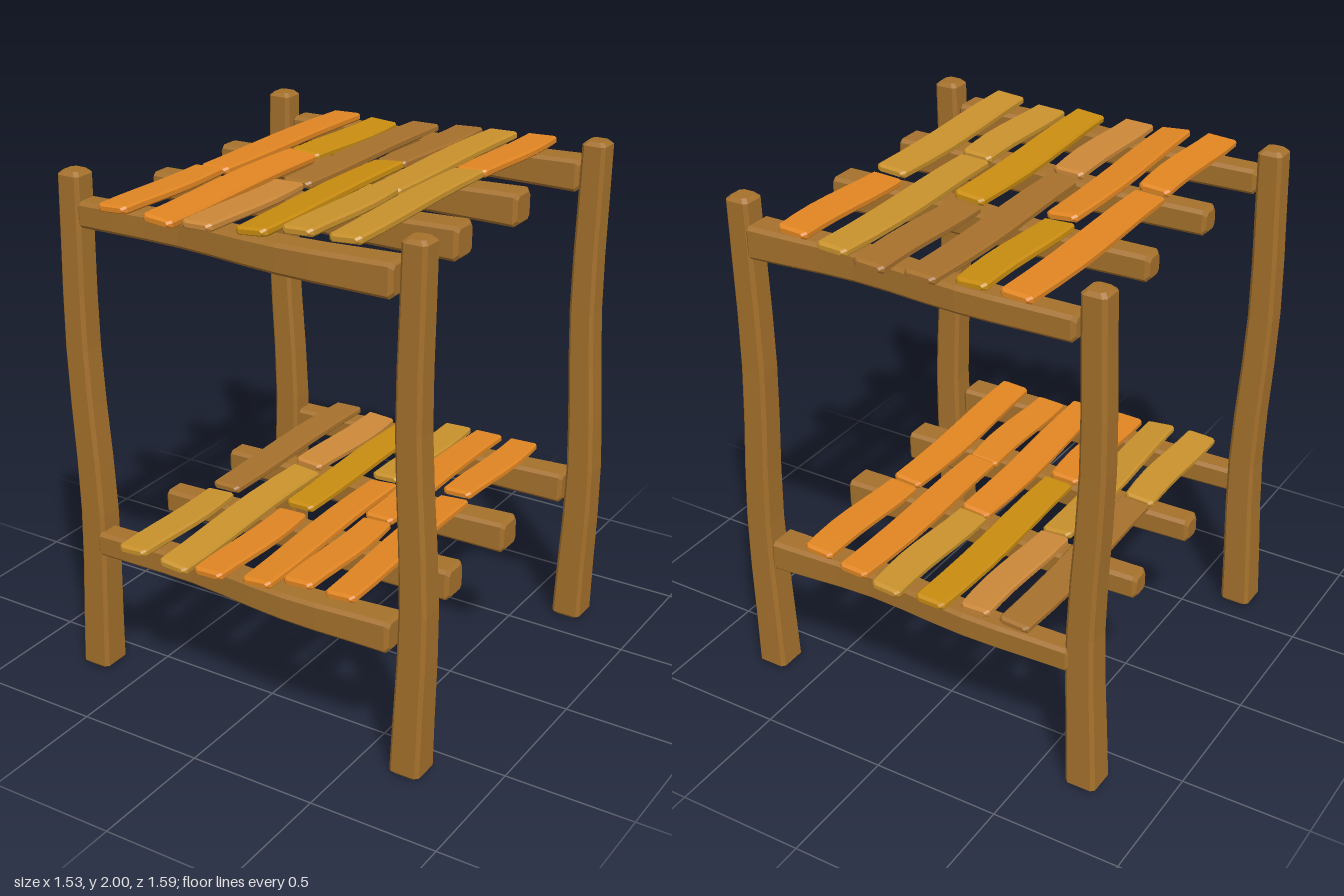
import * as THREE from 'three';

const WOOD = 0xa5712c, ORANGE = 0xe08522, GOLD = 0xc88c10, BROWN = 0xa6702c, TAN = 0xcb8839, OCHRE = 0xc8912c;

const materials = {};
function material(color) {
  materials[color] ??= new THREE.MeshStandardMaterial({ color, flatShading: true });
  return materials[color];
}

// Chamfered bar along +y. path(t) gives its centre x, width(t) and depth(t) its section.
function barGeometry(length, path, width, depth, chamfer, endInset, steps) {
  const rings = [];
  const addRing = (y, inset) => {
    const t = y / length, cx = path(t);
    const a = width(t) / 2 - inset, b = depth(t) / 2 - Math.min(inset, chamfer), c = chamfer;
    rings.push([[a, -b + c], [a, b - c], [a - c, b], [-a + c, b], [-a, b - c], [-a, -b + c], [-a + c, -b], [a - c, -b]]
      .map(([x, z]) => [cx + x, y, z]));
  };
  addRing(0, endInset);
  for (let i = 0; i <= steps; i++) addRing(endInset + (length - 2 * endInset) * i / steps, 0);
  addRing(length, endInset);

  const pos = [];
  const tri = (...points) => points.forEach(p => pos.push(...p));
  for (let i = 0; i < rings.length - 1; i++) {
    for (let j = 0; j < 8; j++) {
      const k = (j + 1) % 8;
      tri(rings[i][j], rings[i + 1][j], rings[i + 1][k]);
      tri(rings[i][j], rings[i + 1][k], rings[i][k]);
    }
  }
  const first = rings[0], last = rings[rings.length - 1];
  for (let j = 1; j < 7; j++) {
    tri(first[0], first[j], first[j + 1]);
    tri(last[0], last[j + 1], last[j]);
  }
  const geometry = new THREE.BufferGeometry();
  geometry.setAttribute('position', new THREE.Float32BufferAttribute(pos, 3));
  geometry.computeVertexNormals();
  return geometry;
}

// Crooked branch shape shared by posts and beams: wide at the start, thin at the end
const bend = new THREE.SplineCurve([[0, 0], [0.32, 0.02], [0.68, -0.011], [1, 0]].map(p => new THREE.Vector2(...p)));
const branchGeometry = length => barGeometry(
  length,
  t => bend.getPoint(t).y,
  t => 0.122 - 0.04 * t + 0.013 * t * t,
  t => 0.125 - 0.05 * t + 0.022 * t * t,
  0.013, 0.014, 9);

export function createModel() {
  const model = new THREE.Group();
  const add = (name, geometry, color, parent = model) => {
    const mesh = new THREE.Mesh(geometry, material(color));
    mesh.name = name;
    parent.add(mesh);
    return mesh;
  };

  // Corner posts
  const postGeometry = branchGeometry(2);
  for (const x of [-0.697, 0.697]) {
    for (const z of [-0.672, 0.645]) add('post', postGeometry, WOOD).position.set(x, 0, z);
  }

  // Planks per column: x, height above beam centre, roll, back plank [z0, z1], front plank [z0, z1]
  const columns = [
    [-0.43, 0.068, 0.06, [-0.74, 0.19], [0.21, 0.785]],
    [-0.257, 0.062, -0.09, [-0.73, -0.165], [-0.145, 0.79]],
    [-0.088, 0.064, 0.03, [-0.775, 0.165], [0.2, 0.77]],
    [0.092, 0.07, 0.09, [-0.8, -0.21], [-0.19, 0.745]],
    [0.255, 0.082, 0.05, [-0.78, 0.125], [0.125, 0.685]],
    [0.43, 0.094, 0.07, [-0.76, -0.2], [-0.175, 0.705]],
  ];
  const shelves = [
    { name: 'lowerShelf', y: 0.56, dx: -0.02, spread: 0.965, colors: [
      [BROWN, OCHRE], [TAN, OCHRE], [GOLD, ORANGE], [OCHRE, ORANGE], [ORANGE, ORANGE], [ORANGE, ORANGE]] },
    { name: 'upperShelf', y: 1.86, dx: 0, spread: 1, colors: [
      [ORANGE, ORANGE], [GOLD, ORANGE], [BROWN, TAN], [BROWN, GOLD], [OCHRE, OCHRE], [ORANGE, OCHRE]] },
  ];
  const beamGeometry = branchGeometry(1.285);

  for (const { name, y, dx, spread, colors } of shelves) {
    const shelf = new THREE.Group();
    shelf.name = name;
    shelf.position.y = y;
    model.add(shelf);

    // Cross beams, thick end towards +x
    for (const z of [-0.69, -0.19, 0.24, 0.665]) {
      const beam = add('beam', beamGeometry, WOOD, shelf);
      beam.rotation.set(Math.PI / 2, 0, Math.PI / 2);
      beam.position.set(0.64, 0, z);
    }

    // Slightly wavy, tilted planks laid front to back
    columns.forEach(([x, h, roll, ...spans], i) => spans.forEach(([z0, z1], k) => {
      const sway = (i + k) % 2 ? 0.008 : -0.008;
      const geometry = barGeometry(
        z1 - z0,
        t => sway * Math.sin(t * Math.PI * 1.6),
        t => 0.122 + 0.01 * Math.sin(t * Math.PI),
        () => 0.03,
        0.007, 0.014, 6);
      const plank = add('plank', geometry, colors[i][k], shelf);
      plank.rotation.set(Math.PI / 2, (k ? 1 : 0.6) * roll, (k ? -0.015 : 0.01));
      const lift = (name === 'upperShelf') === (k === 1) ? 0.006 : -0.004;
      plank.position.set(x * spread + dx * 0.3, h + lift, z0);
    }));
  }
  return model;
}
